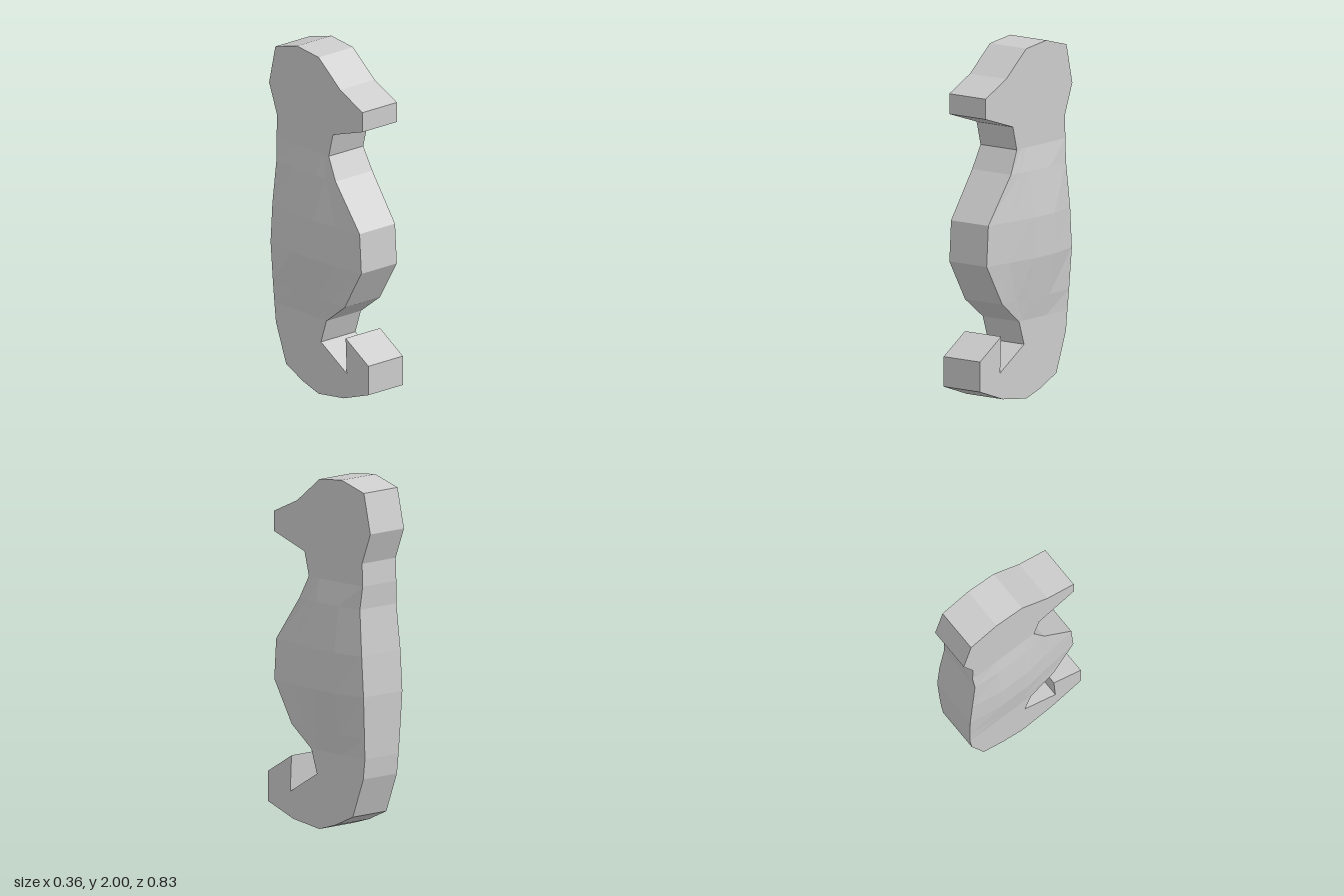
import * as THREE from 'three';

const LEFT = 0.122, RIGHT = -0.135; // x of the two flat side faces
const material = new THREE.MeshStandardMaterial({ color: 0xcccccc, flatShading: true });

// Flat slab cut from a [z, y] outline
function slab(name, outline) {
  const shape = new THREE.Shape(outline.map(([z, y]) => new THREE.Vector2(z, y)));
  const geometry = new THREE.ExtrudeGeometry(shape, { depth: LEFT - RIGHT, bevelEnabled: false });
  geometry.rotateY(-Math.PI / 2).translate(LEFT, 0, 0);
  const mesh = new THREE.Mesh(geometry, material);
  mesh.name = name;
  return mesh;
}

// Ring around the body at one height; the sides swell by `peak` in the middle
function bodyRing({ y, front, back, peak, frontRim, backRim }) {
  const columns = [
    [front, frontRim],
    [front / 2, (frontRim + peak) / 2],
    [0, peak],
    [-0.18, peak],
    [back, backRim],
  ];
  const left = columns.map(([z, b]) => [LEFT + b, y, z]);
  const right = columns.map(([z, b]) => [RIGHT - b * 0.8, y, z]).reverse();
  return [...left, ...right];
}

// Body skin joining the rings from bottom to top
function body() {
  const rings = [
    { y: 0.445, front: 0.065, back: -0.368, peak: 0, frontRim: 0, backRim: 0 },
    { y: 0.565, front: 0.22, back: -0.373, peak: 0.02, frontRim: 0.004, backRim: 0.008 },
    { y: 0.8, front: 0.36, back: -0.38, peak: 0.057, frontRim: 0.004, backRim: 0.022 },
    { y: 1.03, front: 0.345, back: -0.365, peak: 0.057, frontRim: 0.004, backRim: 0.022 },
    { y: 1.29, front: 0.15, back: -0.34, peak: 0.025, frontRim: 0.01, backRim: 0.012 },
    { y: 1.42, front: 0.085, back: -0.35, peak: 0, frontRim: 0, backRim: 0 },
  ].map(bodyRing);
  const positions = [];
  for (let r = 0; r < rings.length - 1; r++) {
    const low = rings[r], high = rings[r + 1], n = low.length;
    for (let i = 0; i < n; i++) {
      const j = (i + 1) % n;
      positions.push(...low[i], ...low[j], ...high[j], ...low[i], ...high[j], ...high[i]);
    }
  }
  const geometry = new THREE.BufferGeometry();
  geometry.setAttribute('position', new THREE.Float32BufferAttribute(positions, 3));
  geometry.computeVertexNormals();
  const mesh = new THREE.Mesh(geometry, material);
  mesh.name = 'body';
  return mesh;
}

export function createModel() {
  const group = new THREE.Group();
  group.name = 'seahorse';

  // Head with its snout, down to the neck
  group.add(slab('head', [
    [0.085, 1.42], [-0.35, 1.42], [-0.345, 1.55], [-0.412, 1.725], [-0.36, 1.95],
    [-0.18, 2], [0, 1.98], [0.18, 1.835], [0.365, 1.75], [0.365, 1.635], [0.12, 1.555],
  ]));

  group.add(body());

  // Tail curling forward and up
  group.add(slab('tail', [
    [0.065, 0.445], [0.02, 0.31], [0.235, 0.18], [0.225, 0.385], [0.415, 0.27],
    [0.415, 0.1], [0.21, 0.028], [0, 0], [-0.13, 0.04], [-0.27, 0.105],
    [-0.355, 0.33], [-0.368, 0.445],
  ]));

  return group;
}
